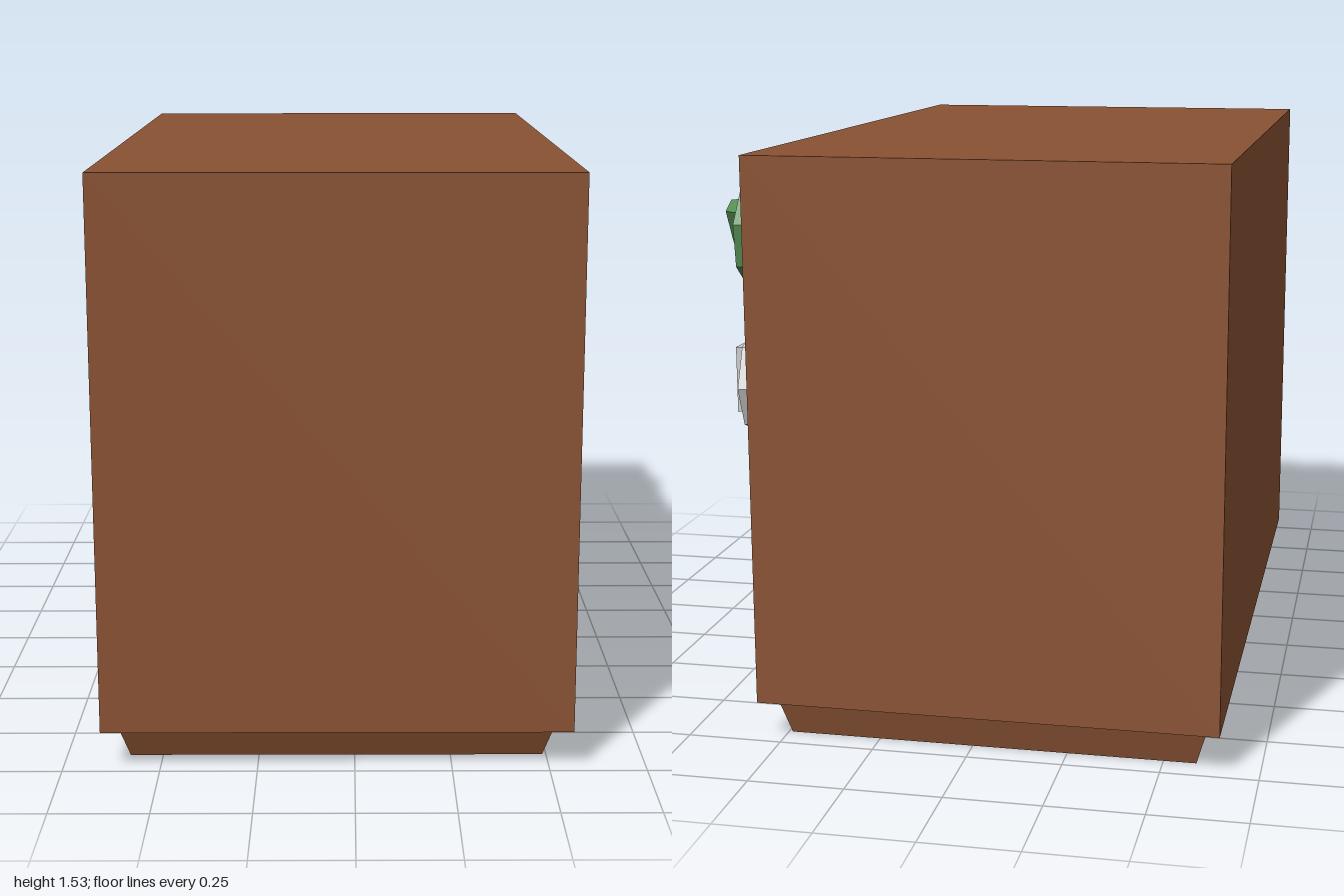
import * as THREE from 'three';

const FRONT = 0.56, BACK = -0.65, BOTTOM = 0.105, TOP = 1.53;

const paint = (color, flatShading = true) => new THREE.MeshStandardMaterial({ color, flatShading });

function add(parent, name, geometry, material) {
  const mesh = new THREE.Mesh(geometry, material);
  mesh.name = name;
  parent.add(mesh);
  return mesh;
}

// Counter-clockwise rounded rectangle, each side split into a few steps
function outline(x0, x1, y0, y1, r = 0, arc = 0, steps = 1) {
  const corners = [[x1 - r, y0 + r, -90], [x1 - r, y1 - r, 0], [x0 + r, y1 - r, 90], [x0 + r, y0 + r, 180]];
  const arcs = corners.map(([cx, cy, start]) => Array.from({ length: arc + 1 }, (_, i) => {
    const a = THREE.MathUtils.degToRad(start + (arc ? (90 * i) / arc : 0));
    return new THREE.Vector2(cx + r * Math.cos(a), cy + r * Math.sin(a));
  }));
  const points = [];
  arcs.forEach((pts, k) => {
    points.push(...pts);
    const from = pts[arc], to = arcs[(k + 1) % 4][0];
    for (let i = 1; i < steps; i++) points.push(from.clone().lerp(to, i / steps));
  });
  return points;
}

const at = (points, z) => points.map((p) => [p.x, p.y, z]);

// Skin between closed rings: front-to-back rings face inward, back-to-front outward
function loft(rings) {
  const n = rings[0].length, index = [];
  for (let k = 0; k + 1 < rings.length; k++) {
    for (let j = 0; j < n; j++) {
      const a = k * n + j, b = k * n + ((j + 1) % n);
      index.push(a, b, b + n, a, b + n, a + n);
    }
  }
  const g = new THREE.BufferGeometry();
  g.setAttribute('position', new THREE.Float32BufferAttribute(rings.flat(2), 3));
  g.setIndex(index);
  g.computeVertexNormals();
  return g;
}

function makeKnob(name, y, material, turn) {
  const knob = new THREE.Group();
  knob.name = name;
  const profile = [[0.165, 0], [0.143, 0.012], [0.143, 0.045], [0, 0.045]].map((p) => new THREE.Vector2(...p));
  add(knob, 'dial', new THREE.LatheGeometry(profile, 8).rotateX(Math.PI / 2), material);
  // Grip bar, narrower at its outer edge
  const grip = new THREE.BoxGeometry(0.066, 0.172, 0.045);
  const p = grip.attributes.position;
  for (let i = 0; i < p.count; i++) if (p.getZ(i) > 0) p.setX(i, p.getX(i) * 0.75);
  add(knob, 'grip', grip, material).position.z = 0.0675;
  knob.position.set(0.8, y, FRONT);
  knob.rotation.z = turn;
  return knob;
}

export function createModel() {
  const model = new THREE.Group();
  model.name = 'television';
  // Built facing +z, then turned to face +x
  const set = new THREE.Group();
  set.name = 'set';
  set.rotation.y = Math.PI / 2;
  model.add(set);

  const wood = paint(0x8a5233);
  const pad = { x0: 0.645, x1: 0.94, y0: 0.16, y1: 0.657 };
  const body = outline(-1, 1, BOTTOM, TOP);
  const bezelOuter = outline(-0.9, 0.48, 0.245, 1.397, 0.085, 3, 8);
  const bezelInner = outline(-0.815, 0.402, 0.312, 1.326, 0.08, 3, 8);
  const padEdge = outline(pad.x0, pad.x1, pad.y0, pad.y1);

  // Cabinet
  add(set, 'cabinetSides', loft([at(body, BACK), at(body, FRONT)]), wood);
  add(set, 'cabinetBack', new THREE.ShapeGeometry(new THREE.Shape(body)).rotateY(Math.PI), wood).position.z = BACK;
  const face = new THREE.Shape(body);
  face.holes.push(new THREE.Path(bezelOuter), new THREE.Path(padEdge));
  add(set, 'cabinetFront', new THREE.ShapeGeometry(face), wood).position.z = FRONT;

  // Tapered plinth
  const plinth = new THREE.BoxGeometry(1, 1, 1);
  const p = plinth.attributes.position;
  for (let i = 0; i < p.count; i++) {
    const up = p.getY(i) > 0;
    const [x0, x1, z0, z1] = up ? [-0.94, 0.955, -0.615, 0.52] : [-0.895, 0.925, -0.585, 0.49];
    p.setXYZ(i, p.getX(i) > 0 ? x1 : x0, up ? BOTTOM : 0, p.getZ(i) > 0 ? z1 : z0);
  }
  add(set, 'plinth', plinth, wood);

  // Sloped screen surround with a straight inner wall
  add(set, 'screenSurround', loft([at(bezelOuter, FRONT), at(bezelInner, FRONT - 0.045), at(bezelInner, FRONT - 0.12)]), wood);

  // Domed screen
  const cx = -0.2065, cy = 0.819, hx = 0.6085, hy = 0.507;
  const rings = [1, 0.8, 0.6, 0.4, 0.2, 0].map((s) => bezelInner.map((q) => {
    const u = ((q.x - cx) / hx) * s, v = ((q.y - cy) / hy) * s;
    return [cx + u * hx, cy + v * hy, FRONT - 0.03 - 0.04 * (u * u + v * v)];
  }));
  add(set, 'screen', loft(rings), paint(0x660d8a, false));

  // Dials
  set.add(makeKnob('upperKnob', 1.312, paint(0x528a52), -Math.PI / 6));
  set.add(makeKnob('lowerKnob', 0.928, paint(0xcccccc), 0));

  // Keypad: nine bevelled wells, each with a button at the bottom
  const blue = paint(0x232f8e), olive = paint(0x87761f);
  const keypad = new THREE.Group();
  keypad.name = 'keypad';
  set.add(keypad);
  const w = (pad.x1 - pad.x0) / 3, h = (pad.y1 - pad.y0) / 3;
  const grid = new THREE.Shape(padEdge);
  for (let i = 0; i < 3; i++) {
    for (let j = 0; j < 3; j++) {
      const x = pad.x0 + (i + 0.5) * w, y = pad.y0 + (j + 0.5) * h;
      const rim = outline(x - w / 2 + 0.006, x + w / 2 - 0.006, y - h / 2 + 0.006, y + h / 2 - 0.006);
      const floor = outline(x - 0.027, x + 0.027, y - 0.06, y + 0.06);
      grid.holes.push(new THREE.Path(rim));
      add(keypad, 'keyWell', loft([at(rim, FRONT), at(floor, FRONT - 0.02)]), blue);
      add(keypad, 'key', new THREE.ShapeGeometry(new THREE.Shape(floor)), olive).position.z = FRONT - 0.02;
    }
  }
  add(keypad, 'keypadGrid', new THREE.ShapeGeometry(grid), blue).position.z = FRONT;

  return model;
}
